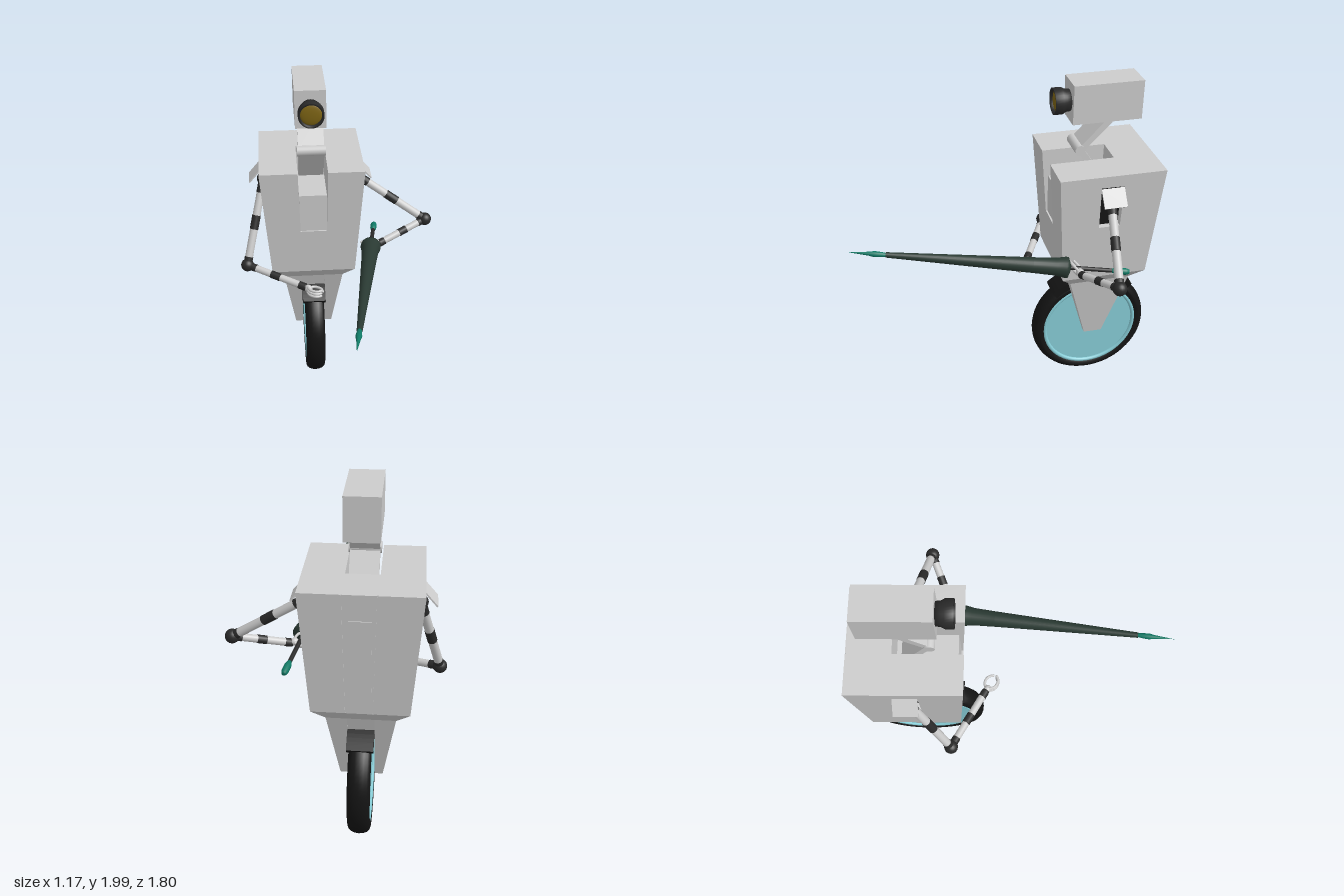
import * as THREE from 'three';

const mat = (color) => new THREE.MeshStandardMaterial({ color });
const grey = mat(0xcccccc), black = mat(0x141414), dark = mat(0x2a2a2a);
const cyan = mat(0x86ccd6), green = mat(0x2a3a33), teal = mat(0x0f7a66), amber = mat(0x7d6414);
const V = (x, y, z) => new THREE.Vector3(x, y, z);
const CX = -0.15, CZ = -0.54; // body axis

export function createModel() {
  const model = new THREE.Group();

  function add(parent, name, geo, material, x = 0, y = 0, z = 0) {
    const m = new THREE.Mesh(geo, material);
    m.name = name;
    m.position.set(x, y, z);
    parent.add(m);
    return m;
  }
  function group(name, x = 0, y = 0, z = 0) {
    const g = new THREE.Group();
    g.name = name;
    g.position.set(x, y, z);
    model.add(g);
    return g;
  }
  // Box whose top and bottom rectangles differ: [x0, x1, z0, z1]
  function taperBox(y0, b, y1, t) {
    const g = new THREE.BoxGeometry(1, 1, 1).toNonIndexed(), p = g.attributes.position;
    for (let i = 0; i < p.count; i++) {
      const r = p.getY(i) > 0 ? t : b;
      p.setXYZ(i, p.getX(i) > 0 ? r[1] : r[0], p.getY(i) > 0 ? y1 : y0, p.getZ(i) > 0 ? r[3] : r[2]);
    }
    g.computeVertexNormals();
    return g;
  }
  // Cylinder between two points
  function rod(parent, name, a, b, r0, r1, material) {
    const d = b.clone().sub(a);
    const m = add(parent, name, new THREE.CylinderGeometry(r1, r0, d.length(), 16), material);
    m.position.copy(a).add(b).multiplyScalar(0.5);
    m.quaternion.setFromUnitVectors(V(0, 1, 0), d.normalize());
    return m;
  }
  const ball = (parent, name, p, r, material) =>
    add(parent, name, new THREE.SphereGeometry(r, 20, 14), material, p.x, p.y, p.z);

  // Wheel
  const wheel = group('wheel', CX, 0.367, CZ);
  wheel.rotation.z = Math.PI / 2;
  const tyre = [[0.295, -0.05], [0.31, -0.06], [0.325, -0.06]];
  for (let i = 0; i <= 8; i++) {
    const a = -Math.PI / 2 + i * Math.PI / 8;
    tyre.push([0.325 + 0.036 * Math.cos(a), 0.06 * Math.sin(a)]);
  }
  tyre.push([0.31, 0.06], [0.295, 0.05], [0.295, -0.05]);
  const lathe = (pts, n = 64) => new THREE.LatheGeometry(pts.map((p) => new THREE.Vector2(...p)), n);
  add(wheel, 'tyre', lathe(tyre), black);
  add(wheel, 'wheelDisc', new THREE.CylinderGeometry(0.285, 0.285, 0.09, 64), cyan);
  for (const s of [-1, 1]) {
    const rim = add(wheel, 'rim', new THREE.TorusGeometry(0.29, 0.013, 8, 64), cyan, 0, s * 0.045, 0);
    rim.rotation.x = Math.PI / 2;
  }

  // Mudguard over the top of the tyre
  const arc = new THREE.Shape();
  arc.absarc(0, 0, 0.383, Math.PI * 0.27, Math.PI * 0.73, false);
  arc.absarc(0, 0, 0.34, Math.PI * 0.73, Math.PI * 0.27, true);
  const guardGeo = new THREE.ExtrudeGeometry(arc, { depth: 0.14, bevelEnabled: false, curveSegments: 12 });
  guardGeo.translate(0, 0, -0.07).rotateY(Math.PI / 2);
  add(model, 'mudguard', guardGeo, black, CX, 0.367, CZ);

  // Fork and hip
  const fork = group('fork', CX, 0, CZ);
  add(fork, 'leftProng', taperBox(0.365, [0.07, 0.115, -0.055, 0.055], 0.8, [0.07, 0.18, -0.18, 0.18]), grey);
  add(fork, 'rightProng', taperBox(0.365, [-0.115, -0.07, -0.055, 0.055], 0.8, [-0.18, -0.07, -0.18, 0.18]), grey);
  add(fork, 'forkCrown', taperBox(0.69, [-0.07, 0.07, -0.145, 0.145], 0.8, [-0.175, 0.175, -0.179, 0.179]), grey);
  add(fork, 'hip', taperBox(0.8, [-0.18, 0.18, -0.18, 0.18], 0.88, [-0.25, 0.25, -0.25, 0.25]), grey);

  // Torso: stacked tapered layers with a front notch and side slots
  const torso = group('torso', CX, 0, CZ);
  const half = (y) => 0.25 + (y - 0.88) / 0.68 * 0.05;
  const notch = [[-0.27, -1], [-0.27, 0.22], [0.3, 0.22], [0.3, -1]];
  const slot = [[1, -0.22], [0.6, -0.22], [0.6, 0.22], [1, 0.22]];
  const seam = [[0.3, 1], [0.3, 0.98], [0.285, 0.98], [0.285, 1], [-0.255, 1], [-0.255, 0.98], [-0.27, 0.98], [-0.27, 1]];
  function layer(y0, y1, hasNotch, hasSlots) {
    const side = hasSlots ? slot : [];
    const pts = [[-1, -1], ...(hasNotch ? notch : []), [1, -1], ...side, [1, 1], ...seam,
      [-1, 1], ...side.map(([u, v]) => [-u, -v])];
    const g = new THREE.ExtrudeGeometry(new THREE.Shape(pts.map((p) => new THREE.Vector2(...p))),
      { depth: y1 - y0, bevelEnabled: false });
    g.rotateX(-Math.PI / 2).translate(0, y0, 0);
    const p = g.attributes.position;
    for (let i = 0; i < p.count; i++) {
      const h = half(p.getY(i));
      p.setXYZ(i, p.getX(i) * h, p.getY(i), p.getZ(i) * h);
    }
    g.computeVertexNormals();
    add(torso, 'torsoShell', g, grey);
  }
  layer(0.88, 1.17, false, false);
  layer(1.17, 1.23, true, false);
  layer(1.23, 1.49, true, true);
  layer(1.49, 1.56, true, false);
  add(torso, 'chestBlock', taperBox(1.17, [-0.076, 0.084, -0.06, 0.262], 1.4, [-0.076, 0.084, -0.06, 0.262]), grey);
  add(torso, 'backPanel', taperBox(0.93, [-0.055, 0.055, -0.259, -0.2], 1.42, [-0.055, 0.055, -0.295, -0.2]), grey);
  for (const s of [-1, 1]) {
    add(torso, 'shoulderSocket', new THREE.BoxGeometry(0.07, 0.26, 0.125), black, s * 0.205, 1.36, 0);
    const flap = add(torso, 'shoulderFlap', new THREE.BoxGeometry(0.11, 0.008, 0.13), grey, s * 0.325, 1.44, 0);
    flap.rotation.z = -s * 0.86;
  }

  // Neck: two flat links and a hinge
  const neck = group('neck', CX, 0, 0);
  function link(name, y0, z0, y1, z1, w) {
    const m = add(neck, name, new THREE.BoxGeometry(w, Math.hypot(y1 - y0, z1 - z0), 0.035), grey,
      0.005, (y0 + y1) / 2, (z0 + z1) / 2);
    m.rotation.x = Math.atan2(z1 - z0, y1 - y0);
  }
  link('lowerNeck', 1.4, -0.56, 1.62, -0.415, 0.15);
  link('upperNeck', 1.62, -0.415, 1.8, -0.59, 0.15);
  add(neck, 'neckHinge', new THREE.CylinderGeometry(0.03, 0.03, 0.165, 20), grey, 0.005, 1.62, -0.412).rotation.z = Math.PI / 2;

  // Camera head
  const head = group('head', -0.147, 1.89, 0);
  add(head, 'headBox', new THREE.BoxGeometry(0.175, 0.22, 0.39), grey, 0, 0, -0.555);
  const barrel = lathe([[0, 0], [0.06, 0], [0.062, 0.03], [0.073, 0.05], [0.073, 0.095], [0.062, 0.095], [0.06, 0.075]], 32);
  add(head, 'lensBarrel', barrel.rotateX(Math.PI / 2), dark, 0, 0, -0.365);
  add(head, 'lens', new THREE.SphereGeometry(0.062, 32, 8, 0, Math.PI * 2, 0, Math.PI / 2)
    .scale(1, 0.2, 1).rotateX(Math.PI / 2), amber, 0, 0, -0.29);

  // Arms: banded rods with ball joints
  function arm(name, shoulder, elbow, wrist) {
    const g = group(name);
    const bands = [0, 0.16, 0.42, 0.58, 0.9, 1];
    for (const [part, a, b, r] of [['upperArm', shoulder, elbow, 0.024], ['forearm', elbow, wrist, 0.021]])
      for (let i = 0; i < 5; i++) {
        const k = i % 2 ? r : r + 0.002;
        rod(g, part, a.clone().lerp(b, bands[i]), a.clone().lerp(b, bands[i + 1]), k, k, i % 2 ? grey : dark);
      }
    ball(g, 'shoulderJoint', shoulder, 0.038, dark);
    ball(g, 'elbowJoint', elbow, 0.039, dark);
    ball(g, 'wristJoint', wrist, 0.022, dark);
    return g;
  }
  // Hand: palm with curled fingers, reaching along dir
  function hand(parent, at, dir) {
    const h = new THREE.Group();
    h.name = 'hand';
    h.position.copy(at);
    h.quaternion.setFromUnitVectors(V(1, 0, 0), dir.normalize());
    add(h, 'palm', new THREE.SphereGeometry(0.026, 16, 10).scale(1, 0.9, 0.8), grey, 0.015, 0, 0);
    for (const [y, s] of [[0.018, 1], [0, 1], [-0.018, 1], [0, -1]]) {
      const c = new THREE.CatmullRomCurve3([V(0.015, y, s * 0.01), V(0.045, y, s * 0.034), V(0.085, y, s * 0.032), V(0.105, y, s * 0.012)]);
      add(h, s > 0 ? 'finger' : 'thumb', new THREE.TubeGeometry(c, 12, 0.008, 8), grey);
      ball(h, 'fingertip', c.getPoint(1), 0.008, grey);
    }
    parent.add(h);
  }
  const right = arm('rightArm', V(-0.43, 1.39, -0.54), V(-0.55, 0.91, -0.34), V(-0.21, 0.855, -0.155));
  hand(right, V(-0.205, 0.853, -0.15), V(0.09, -0.005, 0.05));
  const left = arm('leftArm', V(0.13, 1.39, -0.54), V(0.545, 1.11, -0.465), V(0.255, 1.02, -0.35));
  hand(left, V(0.25, 1.022, -0.35), V(-0.09, 0.015, 0.03));

  // Lance, turned along its own axis from butt to tip
  const tail = V(0.252, 0.995, -0.63), tip = V(-0.005, 1.19, 0.895);
  const lance = group('lance', tail.x, tail.y, tail.z);
  lance.quaternion.setFromUnitVectors(V(0, 1, 0), tip.clone().sub(tail).normalize());
  add(lance, 'lanceButt', lathe([[0, 0], [0.013, 0], [0.019, 0.02], [0.019, 0.07], [0.012, 0.1], [0, 0.1]], 20), teal);
  add(lance, 'lanceGrip', lathe([[0.012, 0.09], [0.012, 0.38]], 16), dark);
  add(lance, 'lanceCone', lathe([[0, 0.335], [0.03, 0.34], [0.06, 0.352], [0.06, 0.365], [0.05, 0.42], [0.044, 0.55],
    [0.015, 1.36], [0, 1.36]], 24), green);
  add(lance, 'lanceTip', lathe([[0.01, 1.355], [0.014, 1.38], [0.017, 1.42], [0.011, 1.45], [0, 1.56]], 16), teal);

  return model;
}
